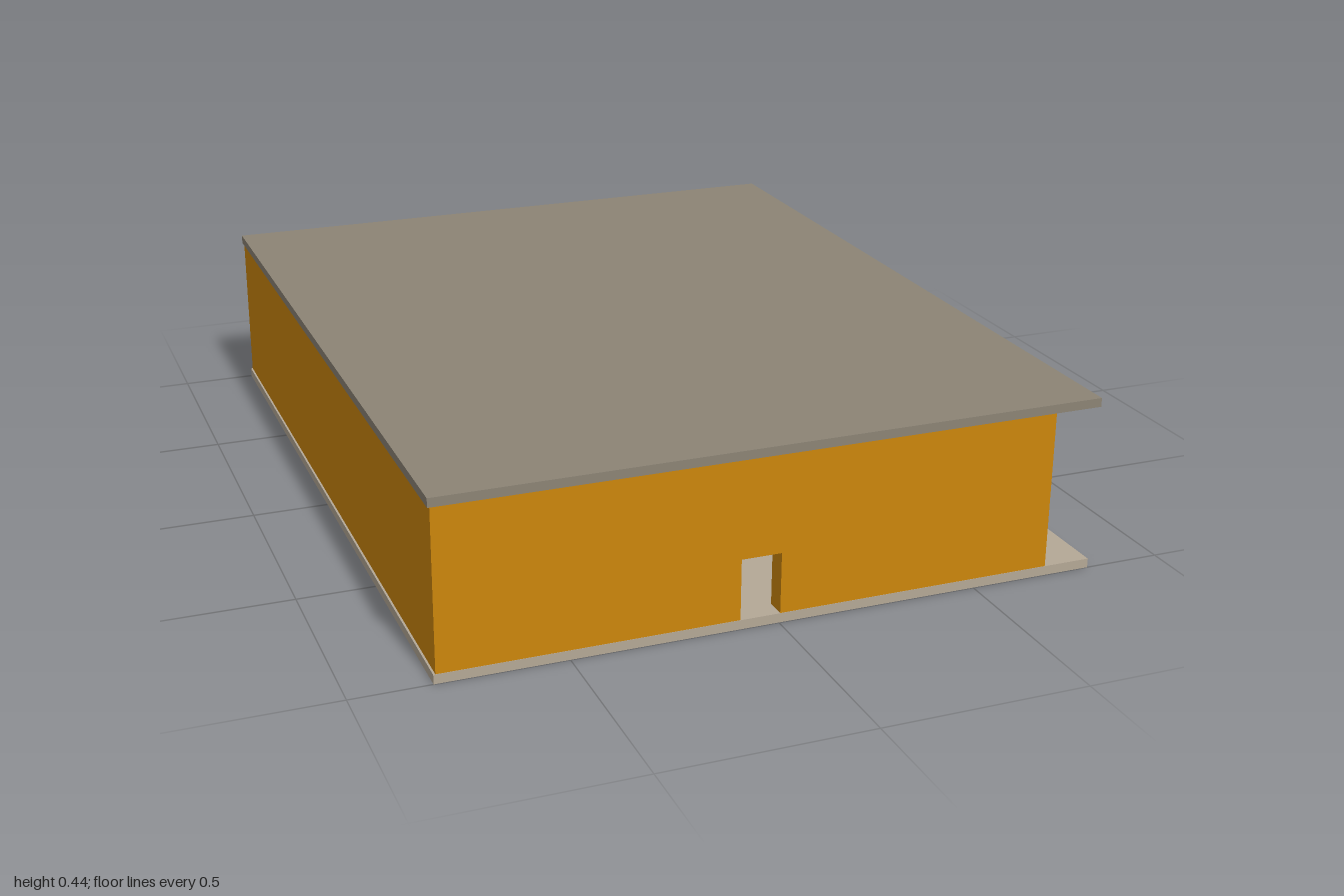
import * as THREE from 'three';

export function createModel() {
  const model = new THREE.Group();
  const wallMat = new THREE.MeshStandardMaterial({ color: 0xcc860c });
  wallMat.name = 'ochre wall';
  const roofMat = new THREE.MeshStandardMaterial({ color: 0x8c8475 });
  roofMat.name = 'grey roof';
  const floorMat = new THREE.MeshStandardMaterial({ color: 0xb4a896 });
  floorMat.name = 'pale floor';

  const floorTop = 0.023, wallTop = 0.413, roofTop = 0.435;
  const left = -0.805, right = 0.692, depth = 0.999, thick = 0.05;

  function box(name, mat, x0, x1, y0, y1, z0, z1) {
    const mesh = new THREE.Mesh(new THREE.BoxGeometry(x1 - x0, y1 - y0, z1 - z0), mat);
    mesh.position.set((x0 + x1) / 2, (y0 + y1) / 2, (z0 + z1) / 2);
    mesh.name = name;
    model.add(mesh);
  }

  // Slabs, overhanging the walls on one side
  box('floorSlab', floorMat, -0.81, 0.81, 0, floorTop, -1, 1);
  box('roofSlab', roofMat, -0.81, 0.81, wallTop, roofTop, -1, 1);

  // Plain side walls between the end walls
  box('sideWallRight', wallMat, left, left + thick, floorTop, wallTop, -depth + thick, depth - thick);
  box('sideWallLeft', wallMat, right - thick, right, floorTop, wallTop, -depth + thick, depth - thick);

  // End walls, each notched by a doorway
  const outline = new THREE.Shape([
    [left, floorTop], [-0.095, floorTop], [-0.095, 0.173], [0.003, 0.173],
    [0.003, floorTop], [right, floorTop], [right, wallTop], [left, wallTop],
  ].map(([x, y]) => new THREE.Vector2(x, y)));
  const endWall = new THREE.ExtrudeGeometry(outline, { depth: thick, bevelEnabled: false });
  for (const [name, z] of [['frontWall', depth - thick], ['backWall', -depth]]) {
    const wall = new THREE.Mesh(endWall, wallMat);
    wall.position.z = z;
    wall.name = name;
    model.add(wall);
  }

  return model;
}
